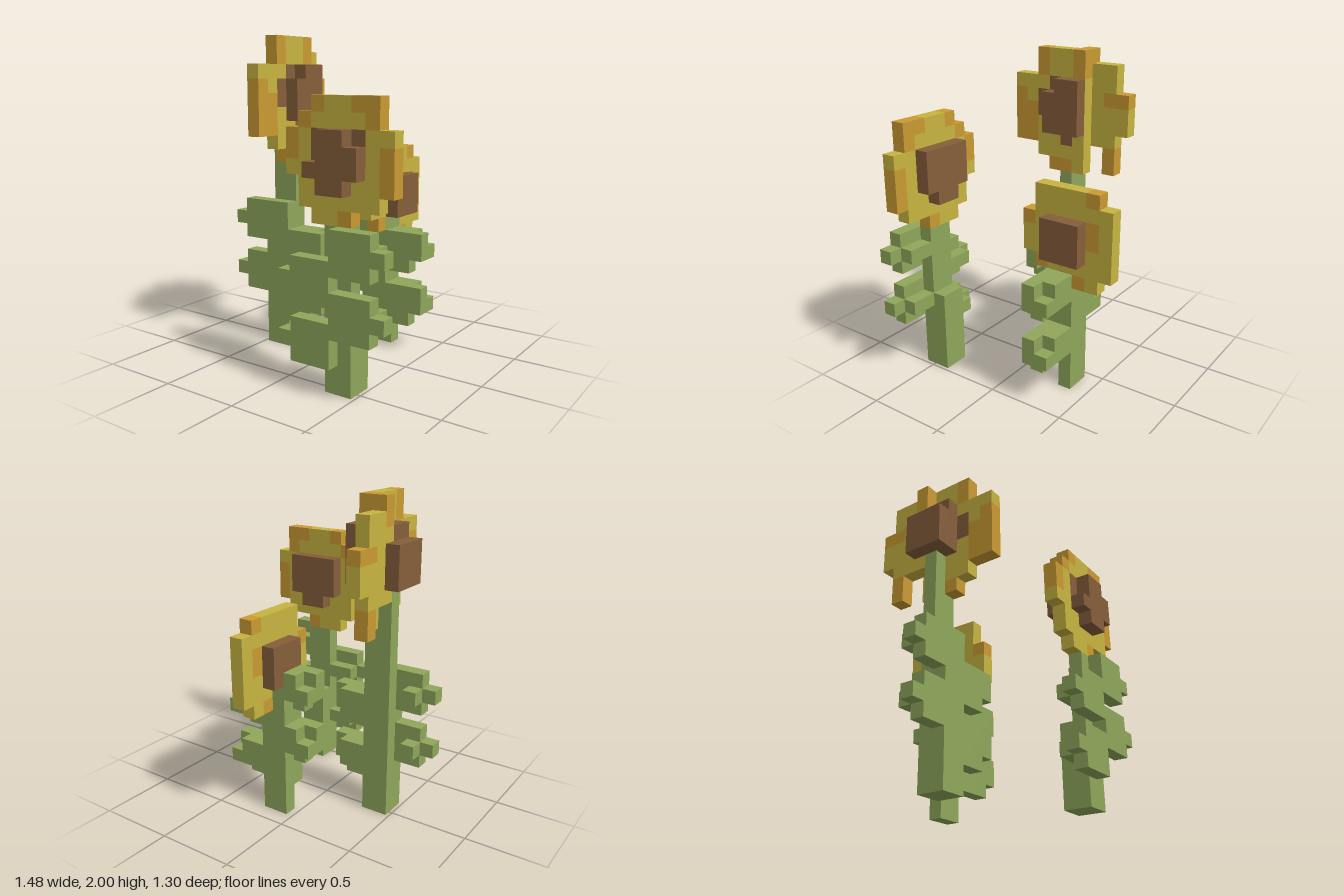
import * as THREE from 'three';
import { mergeGeometries } from 'three/addons/utils/BufferGeometryUtils.js';

const U = 2 / 23; // one block
const mats = {};
for (const [name, color] of [['leafGreen', 0x8fa75b], ['petalYellow', 0xc8b441], ['petalOrange', 0xca9a33], ['seedBrown', 0x865e3b]]) {
  mats[name] = new THREE.MeshStandardMaterial({ color });
  mats[name].name = name;
}

// Box spanning block coordinates on a 17 x 23 x 15 grid
function block([x0, x1, y0, y1, z0, z1]) {
  const g = new THREE.BoxGeometry((x1 - x0) * U, (y1 - y0) * U, (z1 - z0) * U);
  g.translate(((x0 + x1) / 2 - 8.5) * U, ((y0 + y1) / 2) * U, ((z0 + z1) / 2 - 7.5) * U);
  return g;
}

function part(name, mat, boxes) {
  const mesh = new THREE.Mesh(mergeGeometries(boxes.map(block)), mats[mat]);
  mesh.name = name;
  return mesh;
}

// Flower head one block thick: rows from top to bottom, lying along x or along z
function petals(name, axis, start, depth, top, rows) {
  const group = new THREE.Group();
  group.name = name;
  const kinds = { y: ['yellowPetals', 'petalYellow'], o: ['orangePetals', 'petalOrange'], b: ['seedDisc', 'seedBrown'] };
  for (const key in kinds) {
    const boxes = [];
    rows.forEach((row, r) => {
      for (const m of row.matchAll(new RegExp(key + '+', 'g'))) {
        const a = start + m.index, b = a + m[0].length, y = top - r;
        boxes.push(axis === 'x' ? [a, b, y - 1, y, depth, depth + 1] : [depth, depth + 1, y - 1, y, a, b]);
      }
    });
    if (boxes.length) group.add(part(...kinds[key], boxes));
  }
  return group;
}

// The same leaf boxes repeated four blocks higher
const twice = (boxes) => [0, 4].flatMap((d) => boxes.map(([a, b, y0, y1, c, e]) => [a, b, y0 + d, y1 + d, c, e]));

function tallFlower() {
  const g = new THREE.Group();
  g.name = 'tallFlower';
  g.add(part('stem', 'leafGreen', [[3, 5, 0, 11, 7, 9], [3, 5, 11, 14, 7, 8], [3, 4, 14, 17, 7, 8]]));
  g.add(part('rightLeaves', 'leafGreen', twice([[1, 3, 4, 7, 8, 9], [0, 1, 5, 6, 8, 9], [1, 2, 5, 6, 7, 8]])));
  g.add(part('leftLeaves', 'leafGreen', twice([[5, 7, 2, 5, 8, 9], [7, 8, 3, 5, 8, 9], [5, 7, 3, 5, 7, 8]])));
  g.add(petals('frontHalfHead', 'z', 6, 4, 23, [
    'oyyo..', 'oyyo..', 'ybbyyy', 'ybbbyo', 'ybbboo', 'ybbyoo', 'ybyyoo', 'yyyy..', 'yoo...']));
  g.add(petals('backHalfHead', 'z', 3, 3, 23, [
    '...o', '.yyo', '.yyy', 'ooyy', 'yyyy', 'yyyy', '.yyy', '.o..', '.o..']));
  g.add(part('raisedSeeds', 'seedBrown', [
    [5, 6, 17, 21, 6, 8], [5, 6, 17, 20, 8, 9], [3, 4, 17, 21, 7, 9], [2, 3, 17, 20, 6, 9]]));
  return g;
}

function shortFlower() {
  const g = new THREE.Group();
  g.name = 'shortFlower';
  g.add(part('stem', 'leafGreen', [[9, 11, 0, 10, 3, 4], [9, 11, 2, 10, 4, 5]]));
  g.add(part('rightLeaves', 'leafGreen', twice([[8, 9, 4, 7, 4, 5], [8, 9, 5, 7, 3, 4], [7, 8, 5, 7, 4, 5], [7, 8, 5, 6, 3, 4]])));
  g.add(part('leftLeaves', 'leafGreen', twice([[11, 13, 2, 5, 4, 5], [11, 13, 3, 5, 3, 4], [13, 14, 3, 5, 4, 5], [13, 14, 3, 4, 3, 4]])));
  g.add(petals('head', 'z', 0, 10, 15, [
    '.oyyyy.', 'yyyyyy.', 'yoyyyyo', 'yoyyyyy', 'yyyyyyy', 'yyyyyo.', '.yo....']));
  g.add(part('raisedSeeds', 'seedBrown', [[9, 12, 10, 13, 2, 5]]));
  return g;
}

function frontFlower() {
  const g = new THREE.Group();
  g.name = 'frontFlower';
  g.add(part('stem', 'leafGreen', [[12, 14, 0, 6, 12, 14], [12, 14, 6, 11, 13, 14]]));
  g.add(part('leftLeaves', 'leafGreen', twice([[13, 16, 4, 7, 14, 15], [16, 17, 5, 6, 14, 15], [14, 16, 5, 6, 13, 14]])));
  g.add(part('rightLeaves', 'leafGreen', twice([[10, 13, 2, 5, 14, 15], [9, 10, 3, 4, 14, 15], [10, 12, 3, 4, 13, 14]])));
  g.add(petals('head', 'x', 9, 13, 19, [
    '..oyyoo.', '.oyyyyo.', 'oybbbbyy', 'oybbbbyo', 'yybbbbyo', '.yybbyyo', '.yyyyyy.', '..yyo...']));
  g.add(part('raisedSeeds', 'seedBrown', [
    [12, 14, 13, 17, 14, 15], [11, 12, 14, 15, 14, 15], [14, 15, 14, 16, 14, 15],
    [11, 15, 14, 17, 12, 13], [12, 14, 13, 14, 12, 13]]));
  return g;
}

export function createModel() {
  const model = new THREE.Group();
  model.name = 'flowers';
  model.add(tallFlower(), shortFlower(), frontFlower());
  return model;
}
